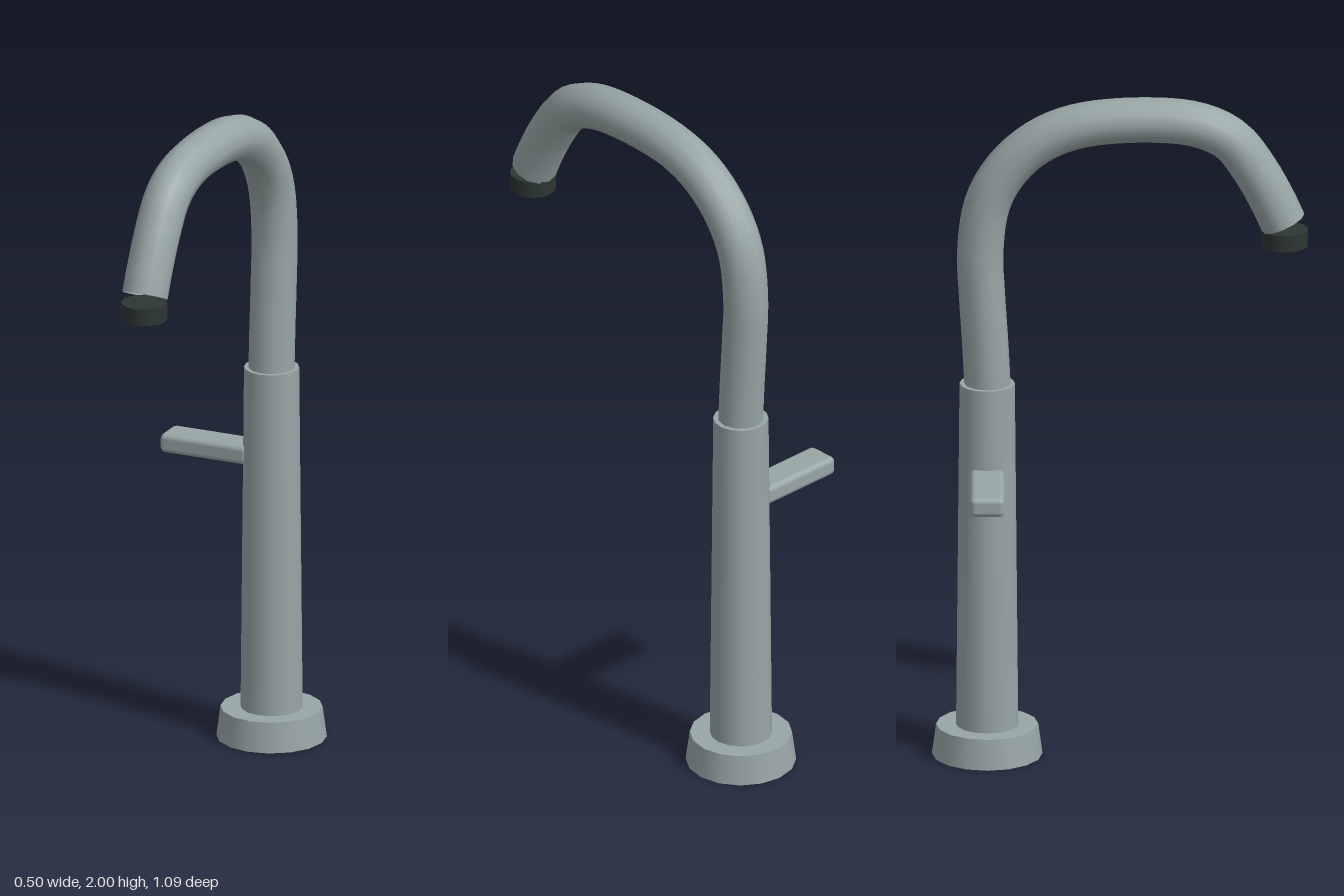
import * as THREE from 'three';
import { RoundedBoxGeometry } from 'three/addons/geometries/RoundedBoxGeometry.js';

const AX = 0.088, AZ = -0.385; // axis of the column

export function createModel() {
  const group = new THREE.Group();
  const metal = new THREE.MeshStandardMaterial({ color: 0x98a6a6 });
  const openMetal = new THREE.MeshStandardMaterial({ color: 0x98a6a6, side: THREE.DoubleSide });
  const dark = new THREE.MeshStandardMaterial({ color: 0x2c3633 });

  const add = (name, geometry, material, x, y, z) => {
    const mesh = new THREE.Mesh(geometry, material);
    mesh.name = name;
    mesh.position.set(x, y, z);
    group.add(mesh);
  };
  // tapered cylinder standing between two heights
  const turned = (name, rTop, rBottom, y0, y1, z = AZ, material = metal) =>
    add(name, new THREE.CylinderGeometry(rTop, rBottom, y1 - y0, 16), material, AX, (y0 + y1) / 2, z);

  turned('baseFlange', 0.148, 0.16, 0, 0.09);
  turned('column', 0.08, 0.09, 0.09, 1.13);

  // gooseneck spout, open at the outlet: centre line as [z, y]
  const path = new THREE.CatmullRomCurve3([
    [-0.383, 1.1], [-0.39, 1.24], [-0.4, 1.4], [-0.405, 1.53], [-0.384, 1.68],
    [-0.327, 1.785], [-0.235, 1.868], [-0.12, 1.915], [0.075, 1.933],
    [0.225, 1.918], [0.32, 1.872], [0.39, 1.78], [0.443, 1.682], [0.471, 1.619],
  ].map(([z, y]) => new THREE.Vector3(0, y, z)));
  add('spout', new THREE.TubeGeometry(path, 56, 0.067, 12), openMetal, AX, 0, 0);

  turned('aerator', 0.067, 0.067, 1.55, 1.6, 0.476, dark);

  // side lever
  add('handle', new RoundedBoxGeometry(0.279, 0.058, 0.1, 2, 0.016), metal, -0.1095, 0.86, AZ);

  return group;
}
